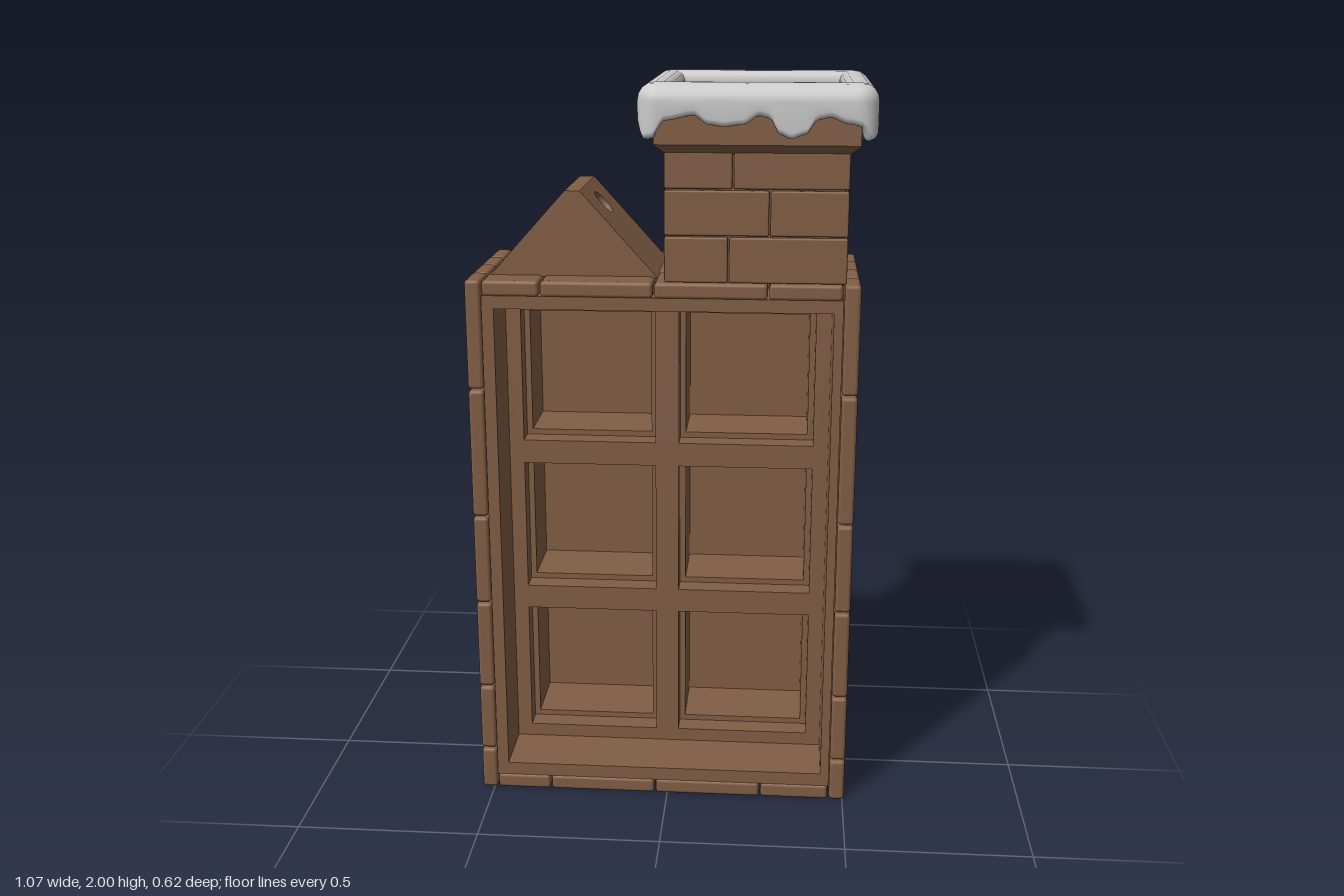
import * as THREE from 'three';
import { RoundedBoxGeometry } from 'three/addons/geometries/RoundedBoxGeometry.js';

const brown = new THREE.MeshStandardMaterial({ color: 0x825e45 });
const brownInside = new THREE.MeshStandardMaterial({ color: 0x825e45, side: THREE.DoubleSide });
const grey = new THREE.MeshStandardMaterial({ color: 0xcccccc });

function add(parent, name, geometry, material = brown) {
  const mesh = new THREE.Mesh(geometry, material);
  mesh.name = name;
  parent.add(mesh);
  return mesh;
}

function subgroup(parent, name) {
  const g = new THREE.Group();
  g.name = name;
  parent.add(g);
  return g;
}

// Rounded brick filling a min/max box, less a narrow joint
function brick(parent, x0, x1, y0, y1, z0, z1, radius = 0.01) {
  const gap = 0.004;
  const geo = new RoundedBoxGeometry(x1 - x0 - gap, y1 - y0 - gap, z1 - z0 - gap, 2, radius);
  geo.translate((x0 + x1) / 2, (y0 + y1) / 2, (z0 + z1) / 2);
  add(parent, 'brick', geo);
}

const rectPoints = (x0, x1, y0, y1) =>
  [[x0, y0], [x1, y0], [x1, y1], [x0, y1]].map(p => new THREE.Vector2(...p));

// Slab with rectangular openings between two depths
function layer(parent, name, holes, z0, z1) {
  const shape = new THREE.Shape(rectPoints(-0.49, 0.46, 0.043, 1.447));
  for (const h of holes) shape.holes.push(new THREE.Path(rectPoints(...h)));
  const geo = new THREE.ExtrudeGeometry(shape, { depth: z1 - z0, bevelEnabled: false });
  add(parent, name, geo.translate(0, 0, z0));
}

// Sweep a closed profile of [inset, y or y(u)] around a rounded rectangle
function sweepFrame(hx, hz, r, profile, nSide, nArc) {
  const stations = [];
  const k = 1 - r / hx;
  for (let q = 0; q < 4; q++) {
    for (let i = 0; i < nSide; i++) {
      const t = -1 + (2 * i) / nSide;
      stations.push({ q, t, arc: 0, u: -t * k });
    }
    for (let i = 0; i < nArc; i++) {
      const s = i / nArc;
      const u = s < 0.5 ? -(k + (1 - k) * 2 * s) : k + (1 - k) * 2 * (1 - s);
      stations.push({ q, t: 1, arc: s * Math.PI / 2, u });
    }
  }
  const pos = [], index = [], n = stations.length, m = profile.length;
  stations.forEach(({ q, t, arc, u }, i) => profile.forEach(([inset, y], j) => {
    const rad = Math.max(r - inset, 0.002);
    const a = (q % 2 ? hz : hx) - inset, b = (q % 2 ? hx : hz) - inset;
    const out = a - rad + rad * Math.cos(arc);
    const along = t * (b - rad) + rad * Math.sin(arc);
    const c = [1, 0, -1, 0][q], s = [0, 1, 0, -1][q];
    pos.push(out * c - along * s, typeof y === 'function' ? y(u) : y, out * s + along * c);
    const i2 = (i + 1) % n, j2 = (j + 1) % m;
    const A = i * m + j, B = i2 * m + j, C = i2 * m + j2, D = i * m + j2;
    index.push(A, B, D, B, C, D);
  }));
  const geo = new THREE.BufferGeometry();
  geo.setAttribute('position', new THREE.Float32BufferAttribute(pos, 3));
  geo.setIndex(index);
  geo.computeVertexNormals();
  return geo;
}

// Lower edge of the snow along one side, as [u, y]
const dripLine = [[-1, 1.86], [-0.88, 1.865], [-0.76, 1.908], [-0.52, 1.92], [-0.4, 1.898], [-0.28, 1.893],
  [-0.12, 1.898], [0.02, 1.92], [0.1, 1.915], [0.19, 1.875], [0.28, 1.864], [0.4, 1.875], [0.5, 1.912],
  [0.6, 1.917], [0.75, 1.902], [0.88, 1.895], [1, 1.86]];
function drip(u) {
  let i = 0;
  while (i < dripLine.length - 2 && u > dripLine[i + 1][0]) i++;
  const [u0, y0] = dripLine[i], [u1, y1] = dripLine[i + 1];
  return THREE.MathUtils.lerp(y0, y1, THREE.MathUtils.smoothstep(u, u0, u1));
}

function buildCabinet(root) {
  const cabinet = subgroup(root, 'cabinet');
  const cells = [], innerCells = [], e = 0.016;
  for (const [x0, x1] of [[-0.417, -0.045], [0.02, 0.394]])
    for (const [y0, y1] of [[0.117, 0.492], [0.56, 0.933], [1.0, 1.376]]) {
      cells.push([x0, x1, y0, y1]);
      innerCells.push([x0 + e, x1 - e, y0 + e, y1 - e]);
    }
  layer(cabinet, 'frontFrame', [[-0.458, 0.436, 0.08, 1.412]], 0.065, 0.238);
  layer(cabinet, 'lattice', cells, 0.005, 0.065);
  layer(cabinet, 'compartments', innerCells, -0.18, 0.005);
  layer(cabinet, 'backPanel', [], -0.241, -0.18);

  // Side walls: four upright columns of staggered bricks
  const joints = [[0, 0.175, 0.48, 0.78, 1.08, 1.38, 1.49], [0, 0.125, 0.32, 0.575, 0.83, 1.19, 1.49]];
  for (const [name, x0, x1] of [['leftWall', 0.46, 0.507], ['rightWall', -0.536, -0.489]]) {
    const wall = subgroup(root, name);
    for (let c = 0; c < 4; c++) {
      const ys = joints[c % 2], z = -0.244 + c * 0.122;
      for (let i = 0; i < ys.length - 1; i++) brick(wall, x0, x1, ys[i], ys[i + 1], z, z + 0.122);
    }
  }

  // Top and bottom: three rows of staggered bricks
  const rows = [[-0.49, -0.335, -0.035, 0.265, 0.46], [-0.49, -0.185, 0.115, 0.46]];
  for (const [name, y] of [['bottomBricks', 0], ['topBricks', 1.443]]) {
    const slab = subgroup(root, name);
    for (let r = 0; r < 3; r++) {
      const xs = rows[r % 2], z = -0.244 + r * 0.1627;
      for (let i = 0; i < xs.length - 1; i++) brick(slab, xs[i], xs[i + 1], y, y + 0.047, z, z + 0.1627);
    }
  }
}

function buildChimney(root) {
  const chimney = subgroup(root, 'chimney');
  chimney.position.x = 0.23;
  const hx = 0.238, hz = 0.244, t = 0.02;
  const ys = [1.488, 1.61, 1.73, 1.83];
  const frontJoints = [-0.07, 0.035, -0.06], sideJoints = [0.075, -0.04, 0.04];
  for (let i = 0; i < 3; i++)
    for (const s of [-1, 1]) {
      const f = s * frontJoints[i], d = s * sideJoints[i];
      const z = s > 0 ? [hz - t, hz] : [-hz, -hz + t];
      const x = s > 0 ? [hx - t, hx] : [-hx, -hx + t];
      brick(chimney, -hx, f, ys[i], ys[i + 1], ...z, 0.005);
      brick(chimney, f, hx, ys[i], ys[i + 1], ...z, 0.005);
      brick(chimney, ...x, ys[i], ys[i + 1], -hz + t, d, 0.005);
      brick(chimney, ...x, ys[i], ys[i + 1], d, hz - t, 0.005);
    }

  // Flared rim with the inner lining
  const rim = sweepFrame(0.2625, 0.266, 0.003, [[0.077, 1.49], [0.077, 1.955], [0, 1.955], [0, 1.845],
    [0.026, 1.822], [0.035, 1.82], [0.035, 1.49]], 1, 1).toNonIndexed();
  rim.computeVertexNormals();
  add(chimney, 'rimAndLining', rim);
  add(chimney, 'flueFloor', new THREE.BoxGeometry(0.38, 0.02, 0.385).translate(0, 1.5, 0), grey);
  add(chimney, 'flueFloorPanel', new THREE.BoxGeometry(0.335, 0.01, 0.34).translate(0, 1.512, 0), grey);

  // Snow with drips down the outside
  const low = dy => u => drip(u) + dy;
  add(chimney, 'snowCap', sweepFrame(0.301, 0.312, 0.05, [[0.06, 1.935], [0.084, 1.945], [0.085, 1.975],
    [0.079, 1.99], [0.066, 1.999], [0.045, 2], [0.028, 1.997], [0.012, 1.986], [0.003, 1.972], [0, 1.955],
    [0, low(0.015)], [0.004, low(0.004)], [0.014, low(0)], [0.026, low(0.002)], [0.034, low(0.01)],
    [0.037, 1.932]], 56, 8), grey);
}

function buildGable(root) {
  const gable = subgroup(root, 'gable');
  gable.position.x = -0.255;
  const foot = 0.225, top = 0.02, y0 = 1.485, y1 = 1.713, hz = 0.157;
  const outline = new THREE.Shape([[-foot, y0], [foot, y0], [top, y1], [-top, y1]].map(p => new THREE.Vector2(...p)));
  for (const s of [1, -1]) {
    const end = add(gable, 'gableEnd', new THREE.ShapeGeometry(outline));
    end.position.z = s * hz;
    if (s < 0) end.rotation.y = Math.PI;
  }
  const ridge = add(gable, 'ridge', new THREE.PlaneGeometry(top * 2, hz * 2).rotateX(-Math.PI / 2));
  ridge.position.y = y1;

  // Two sloping faces, each with a round blind hole
  const length = Math.hypot(foot - top, y1 - y0), angle = Math.atan2(foot - top, y1 - y0);
  const depth = 0.06, radius = 0.037, holeY = length - 0.067;
  const slope = new THREE.Shape(rectPoints(-hz, hz, 0, length));
  slope.holes.push(new THREE.Path().absarc(0, holeY, radius, 0, Math.PI * 2, true));
  for (const s of [1, -1]) {
    const side = subgroup(gable, s > 0 ? 'leftSlope' : 'rightSlope');
    side.rotation.set(-angle, s * Math.PI / 2, 0, 'YXZ');
    side.position.set(s * foot, y0, 0);
    add(side, 'slopeFace', new THREE.ShapeGeometry(slope, 16));
    const bore = new THREE.CylinderGeometry(radius, radius, depth, 32, 1, true).rotateX(Math.PI / 2);
    add(side, 'holeWall', bore.translate(0, holeY, -depth / 2), brownInside);
    add(side, 'holeEnd', new THREE.CircleGeometry(radius, 32).translate(0, holeY, -depth));
  }
}

export function createModel() {
  const model = new THREE.Group();
  model.name = 'chimneyCabinet';
  buildCabinet(model);
  buildChimney(model);
  buildGable(model);
  return model;
}
